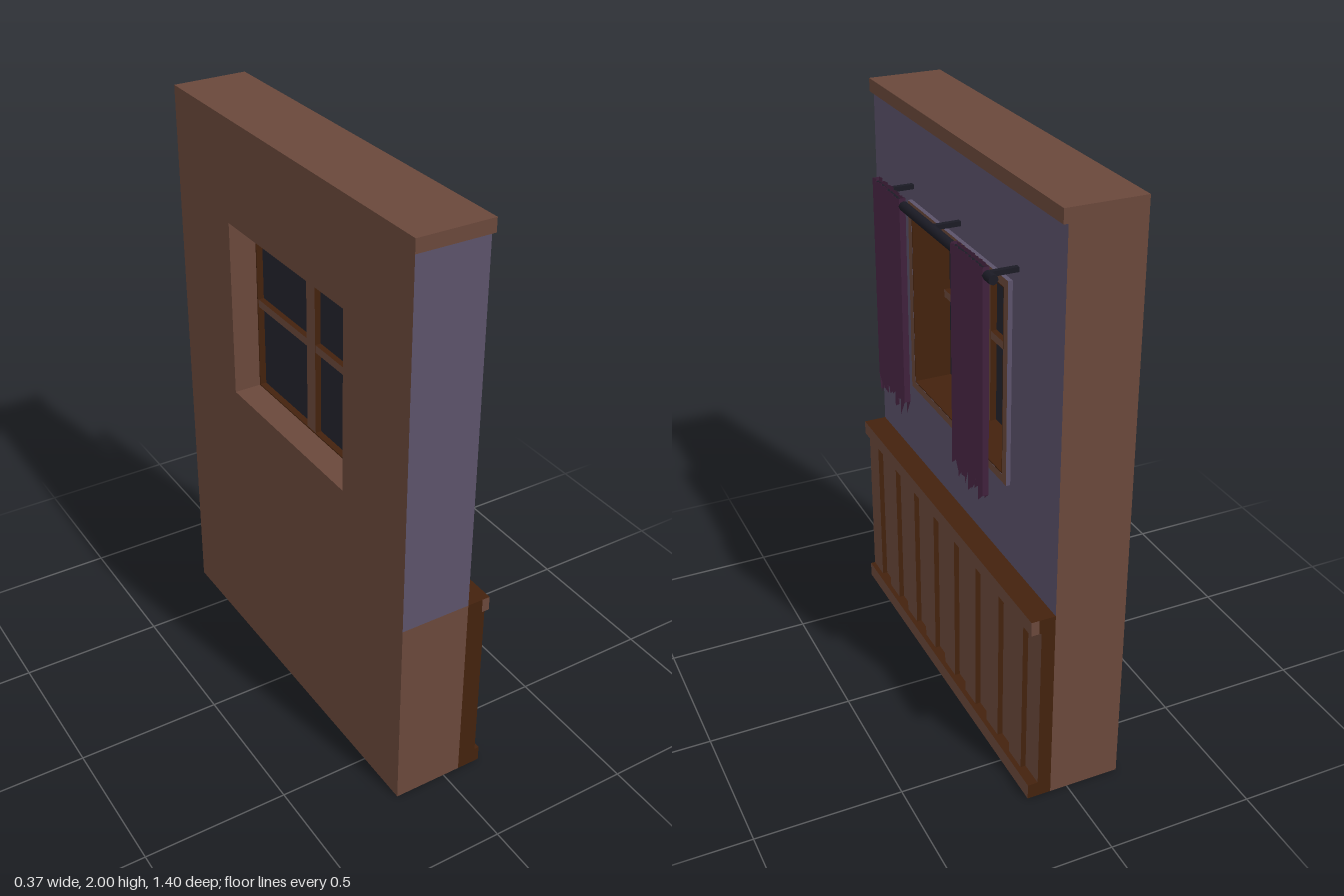
import * as THREE from 'three';

const mat = (name, color, side = THREE.FrontSide) => {
  const m = new THREE.MeshStandardMaterial({ color, side });
  m.name = name;
  return m;
};

export function createModel() {
  const model = new THREE.Group();
  model.name = 'windowWall';
  const brown = mat('wood brown', 0x6a483b);
  const dark = mat('dark wood', 0x43220d);
  const paint = mat('purple wall paint', 0x5b526a);
  const glassMat = mat('dark glass', 0x23232d);
  const iron = mat('black iron', 0x1b1b25);
  const cloth = mat('plum cloth', 0x40213c, THREE.DoubleSide);

  // box from min/max ranges; material may be an array (+x -x +y -y +z -z)
  const box = (name, [x0, x1], [y0, y1], [z0, z1], material, parent = model) => {
    const m = new THREE.Mesh(new THREE.BoxGeometry(x1 - x0, y1 - y0, z1 - z0), material);
    m.position.set((x0 + x1) / 2, (y0 + y1) / 2, (z0 + z1) / 2);
    m.name = name;
    parent.add(m);
    return m;
  };
  const group = (name) => {
    const g = new THREE.Group();
    g.name = name;
    model.add(g);
    return g;
  };

  // Wall around the window opening
  const X = [-0.185, 0.06], Z = 0.7, oz = 0.35, oy0 = 1.015, oy1 = 1.645;
  const wall = group('wall');
  const wallMats = [paint, brown, brown, brown, paint, brown];
  const innerMats = [paint, brown, brown, brown, brown, brown];
  box('wallBase', X, [0, 0.7], [-Z, Z], brown, wall);
  box('wallBelowWindow', X, [0.7, oy0], [-Z, Z], wallMats, wall);
  box('wallAboveWindow', X, [oy1, 1.955], [-Z, Z], wallMats, wall);
  box('wallLeftOfWindow', X, [oy0, oy1], [oz, Z], wallMats, wall);
  box('wallRightOfWindow', X, [oy0, oy1], [-Z, -oz], innerMats, wall);
  box('cornice', [-0.185, 0.075], [1.955, 2], [-Z, Z], [brown, brown, brown, dark, brown, brown]);

  // Window trim, dark lining, glass and glazing bars
  const win = group('window');
  const trimMats = [brown, brown, paint, paint, paint, paint];
  const T = [0.06, 0.075], t = 0.028;
  const L = [-0.09, 0.0745], l = 0.004;
  for (const [y0, y1, ly0, ly1] of [
    [oy0 - t, oy0, oy0, oy0 + l],
    [oy1, oy1 + t, oy1 - l, oy1],
  ]) {
    box('trimRail', T, [y0, y1], [-oz - t, oz + t], trimMats, win);
    box('liningRail', L, [ly0, ly1], [-oz, oz], dark, win);
  }
  for (const s of [-1, 1]) {
    const range = (a, b) => [Math.min(s * a, s * b), Math.max(s * a, s * b)];
    box('trimStile', T, [oy0, oy1], range(oz, oz + t), trimMats, win);
    box('liningStile', L, [oy0, oy1], range(oz - l, oz), dark, win);
  }
  box('glass', [-0.067, -0.059], [oy0, oy1], [-oz, oz], glassMat, win);
  const barMats = [brown, brown, dark, dark, dark, dark];
  box('mullion', [-0.088, -0.037], [oy0, oy1], [-0.026, 0.026], barMats, win);
  box('crossbar', [-0.087, -0.038], [1.32, 1.347], [-oz, oz], barMats, win);

  // Wainscot: backing, alternating raised boards, rails
  const wainscot = group('wainscot');
  const faceMats = [brown, dark, dark, dark, dark, dark];
  box('backing', [0.06, 0.107], [0.055, 0.65], [-Z, Z], faceMats, wainscot);
  const w = 1.4 / 16;
  for (let i = 0; i < 8; i++) {
    const z1 = Z - 2 * i * w;
    box('board', [0.107, 0.125], [0.055, 0.65], [z1 - w, z1], faceMats, wainscot);
  }
  box('baseboard', [0.06, 0.142], [0, 0.055], [-Z, Z], [brown, dark, dark, brown, dark, dark], wainscot);
  box('topRailBack', [0.06, 0.115], [0.65, 0.7], [-Z, Z], dark, wainscot);
  box('topRail', [0.115, 0.142], [0.65, 0.7], [-Z, Z], [brown, dark, dark, dark, brown, brown], wainscot);

  // Curtain rod and brackets
  const rodGroup = group('curtainRod');
  const rod = new THREE.Mesh(new THREE.CylinderGeometry(0.016, 0.016, 0.89, 8), iron);
  rod.name = 'rod';
  rod.rotation.set(Math.PI / 2, 0, 0);
  rod.position.set(0.16, 1.722, -0.013);
  rodGroup.add(rod);
  for (const z of [-0.41, -0.007, 0.368]) {
    box('bracket', [0.06, 0.155], [1.714, 1.73], [z - 0.008, z + 0.008], iron, rodGroup);
  }

  // Curtains: pleated front and back sheets with a ragged hem
  let seed = 7;
  const rand = () => (seed = (seed * 16807) % 2147483647) / 2147483647;
  const curtain = (name, z0, z1) => {
    const cols = 18, pos = [], idx = [];
    const hem = Array.from({ length: cols + 1 }, () => 0.975 + 0.085 * rand() ** 1.5);
    const top = Array.from({ length: cols + 1 }, () => 1.745 + 0.01 * rand());
    const sheet = (xa, xb) => {
      const base = pos.length / 3;
      for (let i = 0; i <= cols; i++) {
        const z = z0 + ((z1 - z0) * i) / cols, x = i % 2 ? xa : xb;
        pos.push(x, top[i], z, x, hem[i], z);
        if (i < cols) {
          const a = base + 2 * i;
          idx.push(a, a + 1, a + 2, a + 1, a + 3, a + 2);
        }
      }
      return base;
    };
    const f = sheet(0.183, 0.174), b = sheet(0.161, 0.153);
    // close both sides
    for (const k of [0, 2 * cols]) idx.push(f + k, f + k + 1, b + k, f + k + 1, b + k + 1, b + k);
    let geo = new THREE.BufferGeometry();
    geo.setAttribute('position', new THREE.Float32BufferAttribute(pos, 3));
    geo.setIndex(idx);
    geo = geo.toNonIndexed();
    geo.computeVertexNormals();
    const m = new THREE.Mesh(geo, cloth);
    m.name = name;
    model.add(m);
  };
  // columns run from +z to -z so that the front sheet faces outward
  curtain('leftCurtain', 0.425, 0.205);
  curtain('rightCurtain', -0.2, -0.417);

  return model;
}
